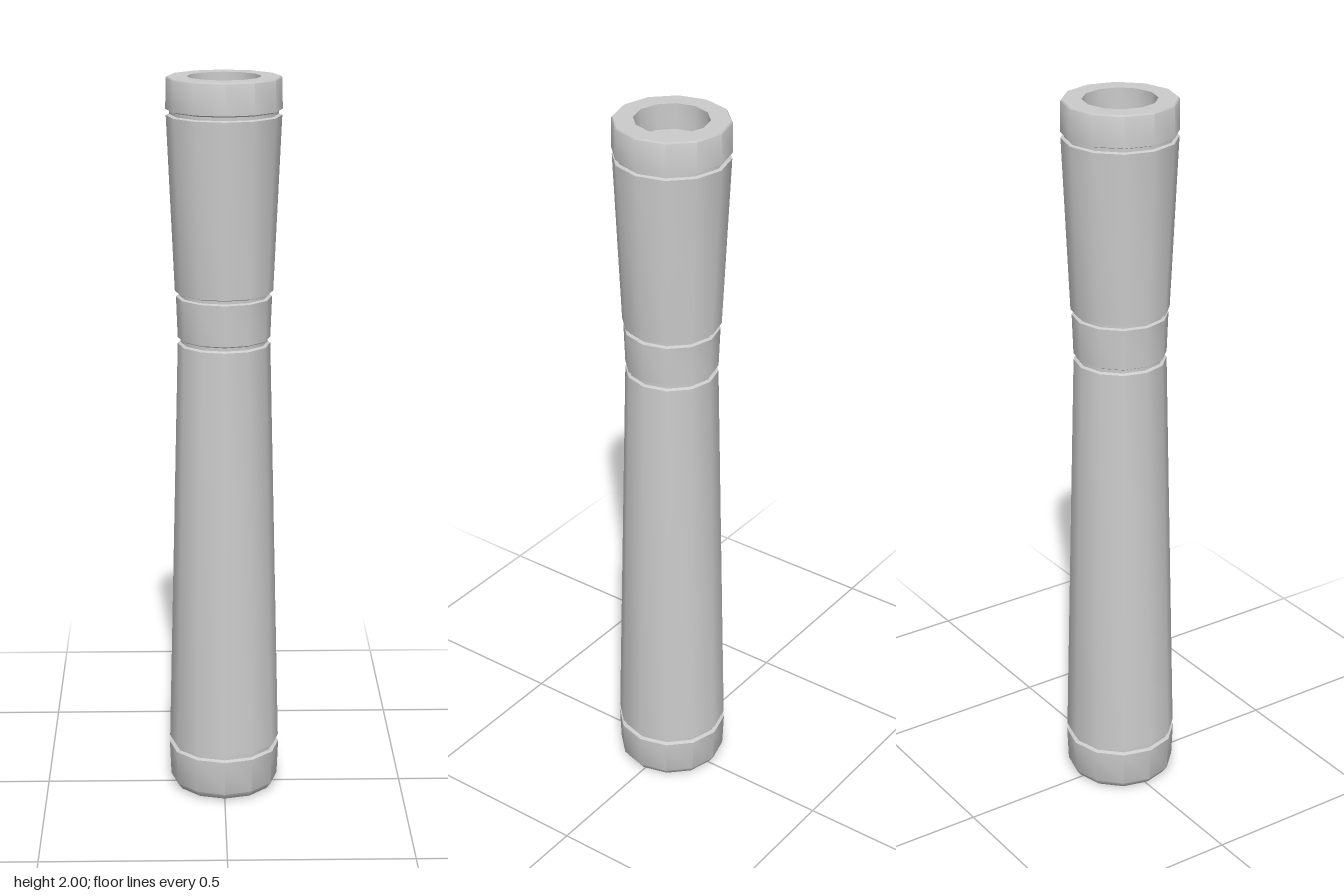
import * as THREE from 'three';
import { toCreasedNormals } from 'three/addons/utils/BufferGeometryUtils.js';

const SIDES = 12;

export function createModel() {
  const group = new THREE.Group();
  const material = new THREE.MeshStandardMaterial({ color: 0xcccccc });

  // Turns a profile of [radius, height] points, listed from bottom to top
  function turned(name, profile) {
    const points = profile.map(([r, y]) => new THREE.Vector2(r, y));
    const geometry = toCreasedNormals(new THREE.LatheGeometry(points, SIDES), 0.65);
    const mesh = new THREE.Mesh(geometry, material);
    mesh.name = name;
    group.add(mesh);
  }

  // Base cap with a recess underneath and a rounded lower edge
  turned('baseCap', [
    [0, 0.07], [0.098, 0.07], [0.098, 0], [0.118, 0],
    [0.138, 0.007], [0.15, 0.024], [0.154, 0.122], [0.144, 0.126],
  ]);

  // Long lower grip, narrowing upwards
  turned('lowerGrip', [[0.144, 0.137], [0.153, 0.141], [0.125, 1.285], [0.117, 1.289]]);

  // Band at the waist
  turned('waistBand', [[0.117, 1.298], [0.125, 1.302], [0.129, 1.414], [0.12, 1.417]]);

  // Upper grip, flaring upwards
  turned('upperGrip', [[0.12, 1.425], [0.132, 1.429], [0.153, 1.899], [0.144, 1.902]]);

  // Top cap with a recess
  turned('topCap', [
    [0.144, 1.911], [0.154, 1.915], [0.153, 1.996], [0.15, 2],
    [0.098, 2], [0.098, 1.93], [0, 1.93],
  ]);

  // Narrow grooves between the parts
  const grooves = [[0.144, 0.126, 0.137], [0.117, 1.289, 1.298], [0.12, 1.417, 1.425], [0.144, 1.902, 1.911]];
  for (const [r, low, high] of grooves) turned('groove', [[r, low], [r, high]]);

  return group;
}
